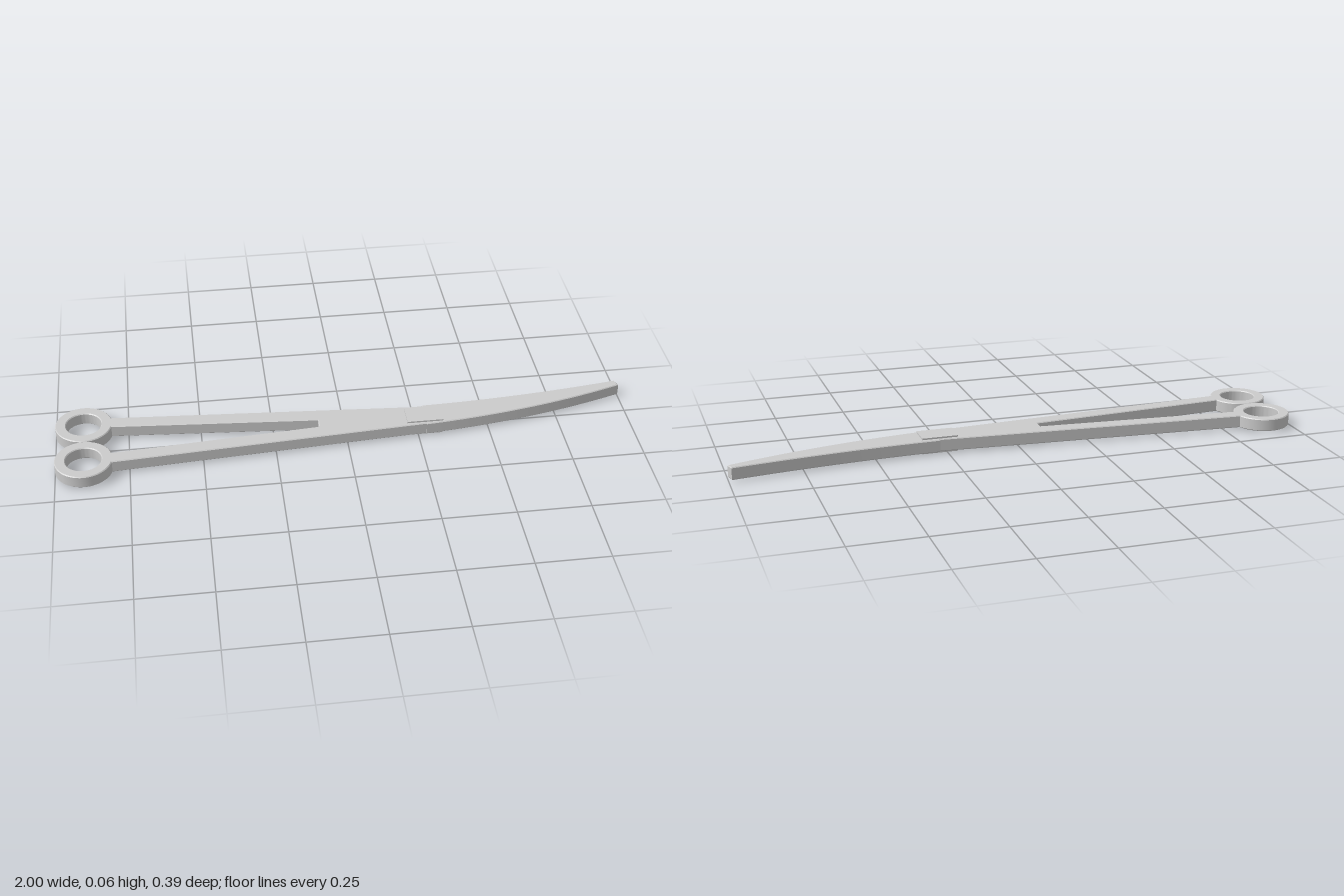
import * as THREE from 'three';
import { toCreasedNormals } from 'three/addons/utils/BufferGeometryUtils.js';

const TOP = 0.0505, BOTTOM = 0.0065, BEVEL = 0.003;
const metal = new THREE.MeshStandardMaterial({ color: 0xcccccc });

// Flat plate with finely bevelled edges; the shape is drawn in (x, z).
function plate(name, shape) {
  const geometry = new THREE.ExtrudeGeometry(shape, {
    depth: TOP - BOTTOM - 2 * BEVEL,
    bevelEnabled: true,
    bevelThickness: BEVEL,
    bevelSize: BEVEL,
    bevelOffset: -BEVEL,
    bevelSegments: 1,
    curveSegments: 32,
  });
  geometry.rotateX(Math.PI / 2);
  geometry.translate(0, TOP - BEVEL, 0);
  const mesh = new THREE.Mesh(toCreasedNormals(geometry, 0.5), metal);
  mesh.name = name;
  return mesh;
}

export function createModel() {
  const group = new THREE.Group();
  group.name = 'curvedClamp';

  // Finger rings
  for (const side of [-1, 1]) {
    const ring = new THREE.Shape().absarc(-0.902, side * 0.0985, 0.098, 0, Math.PI * 2, false);
    ring.holes.push(new THREE.Path().absarc(-0.902, side * 0.0985, 0.061, 0, Math.PI * 2, true));
    group.add(plate(side < 0 ? 'backFingerRing' : 'frontFingerRing', ring));
  }

  // Two shanks meeting in a wedge before the hinge
  const half = [[-0.815, 0.074], [-0.815, 0.125], [0.3, 0.048]];
  const notch = [-0.094, 0.019];
  const outline = [
    notch, ...half,
    ...half.map(([x, z]) => [x, -z]).reverse(),
    [notch[0], -notch[1]],
  ];
  group.add(plate('shanks', new THREE.Shape(outline.map(([x, z]) => new THREE.Vector2(x, z)))));

  // Closed jaws, curving sideways and tapering to a blunt tip
  const jaws = new THREE.Shape();
  jaws.moveTo(0.278, 0.053);
  jaws.lineTo(0.278, -0.057);
  jaws.quadraticCurveTo(0.62, -0.062, 0.99, -0.117);
  jaws.lineTo(0.999, -0.089);
  jaws.quadraticCurveTo(0.66, 0.023, 0.278, 0.053);
  group.add(plate('jaws', jaws));

  // Box lock around the hinge
  const lock = new THREE.Mesh(new THREE.BoxGeometry(0.125, 0.056, 0.084), metal);
  lock.name = 'boxLock';
  lock.position.set(0.274, 0.028, 0);
  group.add(lock);

  return group;
}
